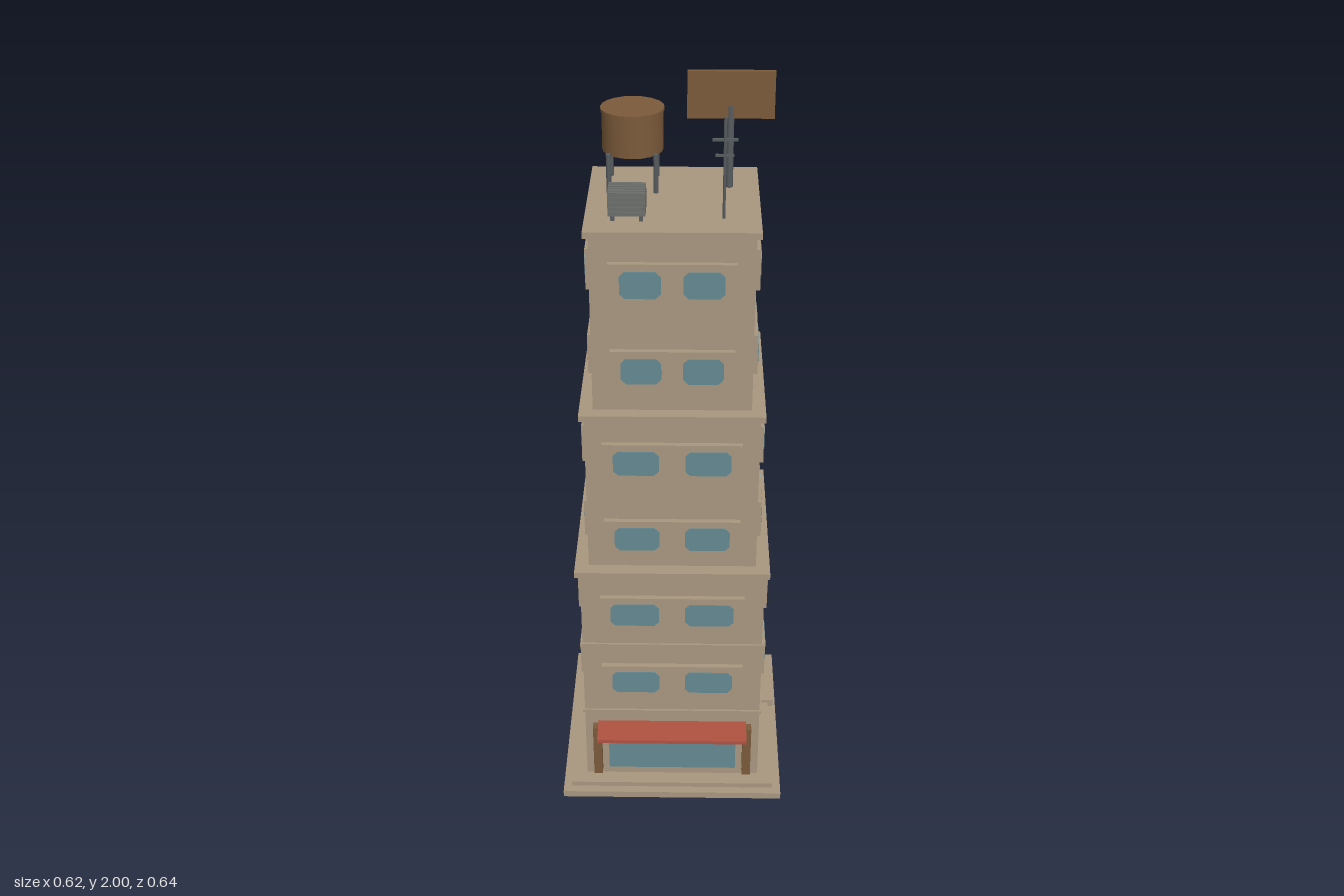
import * as THREE from 'three';

const CZ = -0.0105; // centre line of the tower in z

const mat = (name, color) => {
  const m = new THREE.MeshStandardMaterial({ color });
  m.name = name;
  return m;
};

export function createModel() {
  const wall = mat('sandstone', 0xa8977f);
  const glass = mat('glass', 0x64899200 >>> 8);
  const brown = mat('rustyBrown', 0x7b5a3a);
  const red = mat('awningRed', 0xb15241);
  const grey = mat('metalGrey', 0x6c6e6c);
  const pole = mat('poleGrey', 0x585d60);
  const dark = mat('doorBrown', 0x4c4136);

  const root = new THREE.Group();
  root.name = 'towerBlock';

  const add = (parent, name, geo, material, x = 0, y = 0, z = 0) => {
    const m = new THREE.Mesh(geo, material);
    m.name = name;
    m.position.set(x, y, z);
    parent.add(m);
    return m;
  };
  // Box given by its limits on each axis
  const box = (parent, name, material, x0, x1, y0, y1, z0, z1) =>
    add(parent, name, new THREE.BoxGeometry(x1 - x0, y1 - y0, z1 - z0), material,
      (x0 + x1) / 2, (y0 + y1) / 2, (z0 + z1) / 2);
  const group = (name, x = 0, y = 0, z = 0) => {
    const g = new THREE.Group();
    g.name = name;
    g.position.set(x, y, z);
    root.add(g);
    return g;
  };

  // Thin pane with cut corners
  const paneGeometry = (w, h, c) => {
    const a = w / 2, b = h / 2;
    const s = new THREE.Shape([
      [-a + c, -b], [a - c, -b], [a, -b + c], [a, b - c],
      [a - c, b], [-a + c, b], [-a, b - c], [-a, -b + c],
    ].map(([x, y]) => new THREE.Vector2(x, y)));
    return new THREE.ExtrudeGeometry(s, { depth: 0.003, bevelEnabled: false });
  };

  // Square building pieces, stacked
  const tower = group('tower', 0, 0, CZ);
  const slab = (name, half, y0, y1) => box(tower, name, wall, -half, half, y0, y1, -half, half);
  slab('lowerPlinth', 0.31, 0, 0.02);
  slab('upperPlinth', 0.287, 0.02, 0.035);
  slab('lowerTier', 0.245, 0.035, 0.74);
  slab('lowerCornice', 0.259, 0.738, 0.755);
  slab('middleTier', 0.222, 0.755, 1.205);
  slab('middleCornice', 0.235, 1.203, 1.22);
  slab('upperTier', 0.2, 1.22, 1.69);
  slab('roofSlab', 0.212, 1.688, 1.705);
  for (const y of [0.27, 0.505]) slab('floorBand', 0.251, y - 0.005, y + 0.005);

  // Raised window panels on all four sides; front and back are wider
  const tiers = [
    { half: 0.245, floors: [0.385, 0.618], front: [0.193, 0.1, 0.13], side: [0.154, 0.073, 0.105] },
    { half: 0.222, floors: [0.85, 1.083], front: [0.178, 0.092, 0.117], side: [0.14, 0.069, 0.092] },
    { half: 0.2, floors: [1.337, 1.57], front: [0.154, 0.077, 0.1], side: [0.125, 0.063, 0.084] },
  ];
  for (const t of tiers) {
    for (const y of t.floors) {
      for (let k = 0; k < 4; k++) {
        const [halfWidth, offset, width] = k % 2 ? t.side : t.front;
        const bay = new THREE.Group();
        bay.name = 'windowBay';
        bay.position.y = y;
        bay.rotation.y = k * Math.PI / 2;
        box(bay, 'windowPanel', wall, -halfWidth, halfWidth, -0.054, 0.054, t.half - 0.005, t.half + 0.014);
        for (const s of [-1, 1]) {
          add(bay, 'windowPane', paneGeometry(width, 0.07, 0.013), glass, s * offset, 0, t.half + 0.0135);
        }
        tower.add(bay);
      }
    }
  }

  // Shop front with awning
  const shop = group('shopFront');
  const fz = CZ + 0.245;
  box(shop, 'shopWindow', glass, -0.18, 0.18, 0.06, 0.207, fz - 0.002, fz + 0.005);
  for (const s of [-1, 1]) {
    const x = s * 0.211;
    box(shop, 'shopPillar', brown, x - 0.012, x + 0.012, 0.052, 0.222, fz - 0.004, fz + 0.024);
  }
  box(shop, 'shopBeam', brown, -0.2, 0.2, 0.207, 0.222, fz - 0.004, fz + 0.02);
  box(shop, 'awning', red, -0.208, 0.208, 0.22, 0.231, fz, 0.316);

  // Side door with its step
  const entry = group('sideEntrance');
  box(entry, 'door', dark, 0.243, 0.252, 0.045, 0.205, -0.173, -0.082);
  box(entry, 'doorStep', wall, 0.24, 0.302, 0.02, 0.045, -0.196, -0.073);

  // Water tank on four legs
  const tank = group('waterTank', -0.102, 1.705, -0.104);
  add(tank, 'tankBody', new THREE.CylinderGeometry(0.076, 0.076, 0.1, 20), brown, 0, 0.143, 0);
  add(tank, 'tankLid', new THREE.CylinderGeometry(0.079, 0.079, 0.008, 20), brown, 0, 0.196, 0);
  for (const x of [-0.058, 0.058]) {
    for (const z of [-0.058, 0.058]) {
      add(tank, 'tankLeg', new THREE.CylinderGeometry(0.007, 0.007, 0.1, 6), pole, x, 0.049, z);
    }
  }

  // Blank billboard on a post
  const board = group('billboard', 0.138, 1.705, -0.088);
  add(board, 'billboardPost', new THREE.CylinderGeometry(0.009, 0.009, 0.21, 8), pole, 0, 0.104, 0);
  box(board, 'billboardPanel', brown, -0.106, 0.107, 0.178, 0.295, -0.0065, 0.0065);

  // Aerial with two crossbars
  const aerial = group('aerial', 0.122, 1.705, 0.113);
  add(aerial, 'aerialMast', new THREE.CylinderGeometry(0.004, 0.004, 0.25, 6), pole, 0, 0.125, 0);
  for (const [y, half] of [[0.195, 0.03], [0.157, 0.022]]) {
    box(aerial, 'aerialBar', pole, -half, half, y - 0.003, y + 0.003, -0.0025, 0.0025);
  }

  // Rooftop cooling unit on feet, with slats on top and front
  const unit = group('coolingUnit', -0.109, 1.705, 0.106);
  box(unit, 'unitBody', grey, -0.045, 0.045, 0.015, 0.07, -0.036, 0.036);
  for (const x of [-0.034, 0.034]) {
    for (const z of [-0.024, 0.024]) {
      box(unit, 'unitFoot', pole, x - 0.005, x + 0.005, 0, 0.016, z - 0.005, z + 0.005);
    }
  }
  for (let i = 0; i < 5; i++) {
    const z = -0.03 + i * 0.015;
    box(unit, 'topSlat', grey, -0.045, 0.045, 0.069, 0.073, z - 0.005, z + 0.005);
  }
  for (let i = 0; i < 4; i++) {
    const y = 0.024 + i * 0.012;
    box(unit, 'frontSlat', grey, -0.04, 0.04, y - 0.003, y + 0.003, 0.035, 0.039);
  }

  return root;
}
